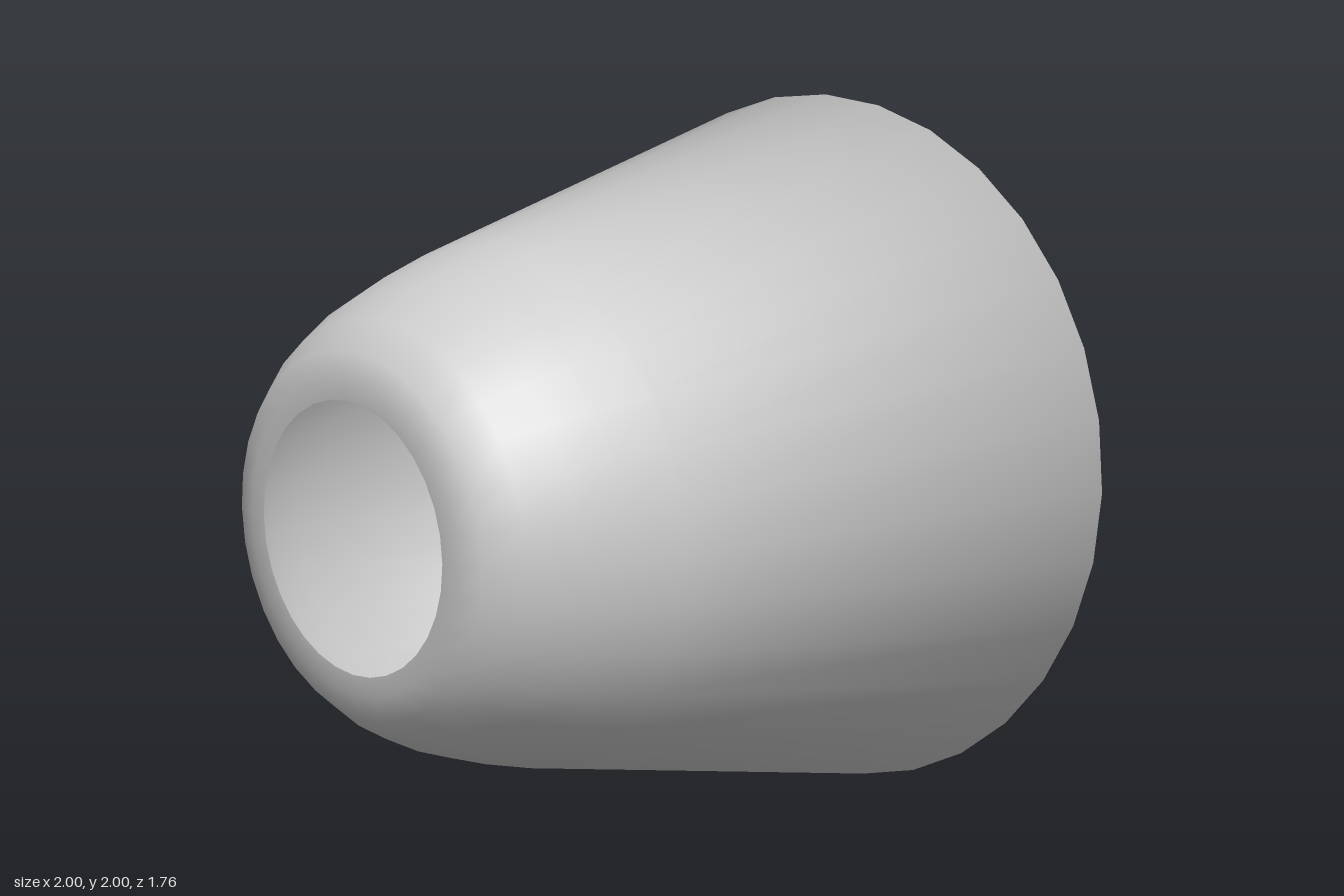
import * as THREE from 'three';

export function createModel() {
  const group = new THREE.Group();
  const grey = new THREE.MeshStandardMaterial({ color: 0xcccccc, side: THREE.DoubleSide });
  grey.name = 'light grey';

  // Profile as (radius, z): wide rear rim, straight taper, rounded shoulder, front hole
  const profile = [
    [1, -0.88], [0.69, 0.4], [0.645, 0.55], [0.6, 0.67],
    [0.54, 0.78], [0.47, 0.86], [0.4, 0.88], [0.35, 0.88],
  ].map(([r, z]) => new THREE.Vector2(r, z));
  const sides = 32;
  const rings = profile.length;
  const shell = new THREE.LatheGeometry(profile, sides);

  // Flat rear cap shares the rim vertices, so shading rolls smoothly over the rim
  const index = Array.from(shell.index.array);
  for (let i = 1; i < sides - 1; i++) index.push(0, (i + 1) * rings, i * rings);
  shell.setIndex(index);
  for (let i = 0; i <= sides; i++) {
    const a = (i / sides) * Math.PI * 2;
    shell.attributes.normal.setXYZ(i * rings, 0.83 * Math.sin(a), -0.56, 0.83 * Math.cos(a));
  }

  // Lay the axis along z, with the hole facing forward
  shell.rotateX(Math.PI / 2);
  const body = new THREE.Mesh(shell, grey);
  body.name = 'taperedShell';
  body.position.y = 1;
  group.add(body);
  return group;
}
